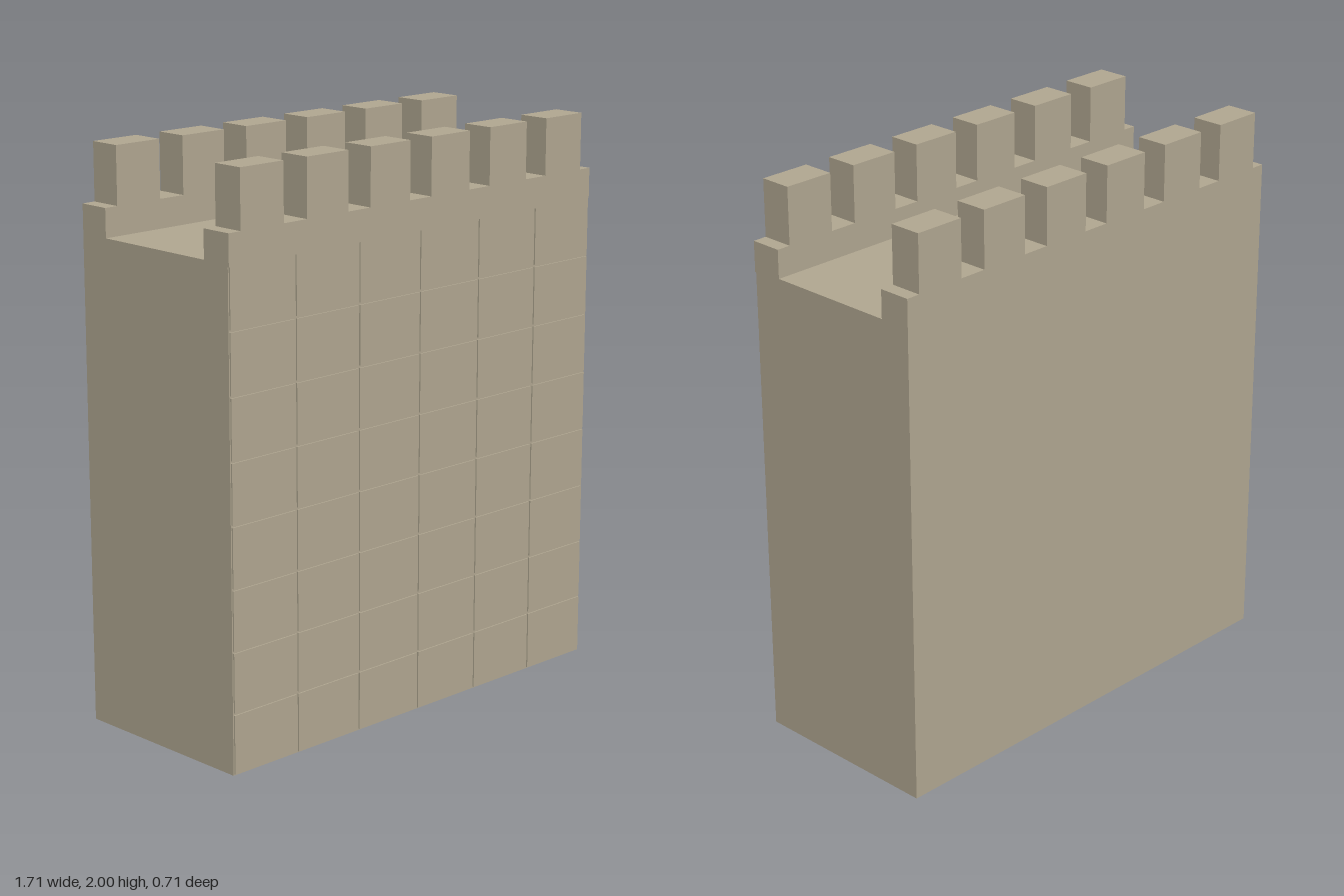
import * as THREE from 'three';

const HALF_W = 0.855, HALF_D = 0.356;     // overall half width and half depth
const DECK = 1.7, PARAPET = 1.8, TOP = 2; // heights
const INNER = 0.24;                       // inner face of the parapets
const GROOVE = 0.008, DEPTH = 0.005;      // joint width and depth
const COLS = 6, ROWS = 8;

export function createModel() {
  const model = new THREE.Group();
  model.name = 'castleWall';
  const stone = new THREE.MeshStandardMaterial({ color: 0xb1a791 });
  stone.name = 'sandstone';

  function add(name, geometry, parent, x = 0, y = 0, z = 0) {
    const mesh = new THREE.Mesh(geometry, stone);
    mesh.name = name;
    mesh.position.set(x, y, z);
    parent.add(mesh);
  }

  // Wall body: U-shaped section with both parapets, recessed below the front band
  const bandY = 1.692;
  const section = new THREE.Shape([
    [HALF_D, 0], [HALF_D, PARAPET], [INNER, PARAPET], [INNER, DECK],
    [-INNER, DECK], [-INNER, PARAPET], [-HALF_D, PARAPET], [-HALF_D, bandY],
    [-HALF_D + DEPTH, bandY], [-HALF_D + DEPTH, 0],
  ].map(([x, y]) => new THREE.Vector2(x, y)));
  const body = new THREE.ExtrudeGeometry(section, { depth: 2 * HALF_W, bevelEnabled: false });
  body.translate(0, 0, -HALF_W).rotateY(Math.PI / 2);
  add('wallBody', body, model);

  // Front stone blocks, separated by narrow joints
  const blocks = new THREE.Group();
  blocks.name = 'frontBlocks';
  model.add(blocks);
  const pitchX = 2 * HALF_W / COLS, pitchY = DECK / ROWS;
  for (let r = 0; r < ROWS; r++) {
    const y0 = r * pitchY + GROOVE / 2;
    const y1 = r === ROWS - 1 ? bandY : (r + 1) * pitchY - GROOVE / 2;
    const block = new THREE.BoxGeometry(pitchX - GROOVE, y1 - y0, DEPTH);
    for (let c = 0; c < COLS; c++) {
      add('block', block, blocks, -HALF_W + (c + 0.5) * pitchX, (y0 + y1) / 2, HALF_D - DEPTH / 2);
    }
  }

  // Merlons along the front and back parapets
  const merlon = new THREE.BoxGeometry(0.184, TOP - PARAPET, HALF_D - INNER);
  for (const side of [1, -1]) {
    const row = new THREE.Group();
    row.name = side > 0 ? 'frontMerlons' : 'backMerlons';
    model.add(row);
    for (let c = 0; c < COLS; c++) {
      add('merlon', merlon, row, -HALF_W + (c + 0.5) * pitchX,
        (TOP + PARAPET) / 2, side * (HALF_D + INNER) / 2);
    }
  }
  return model;
}
